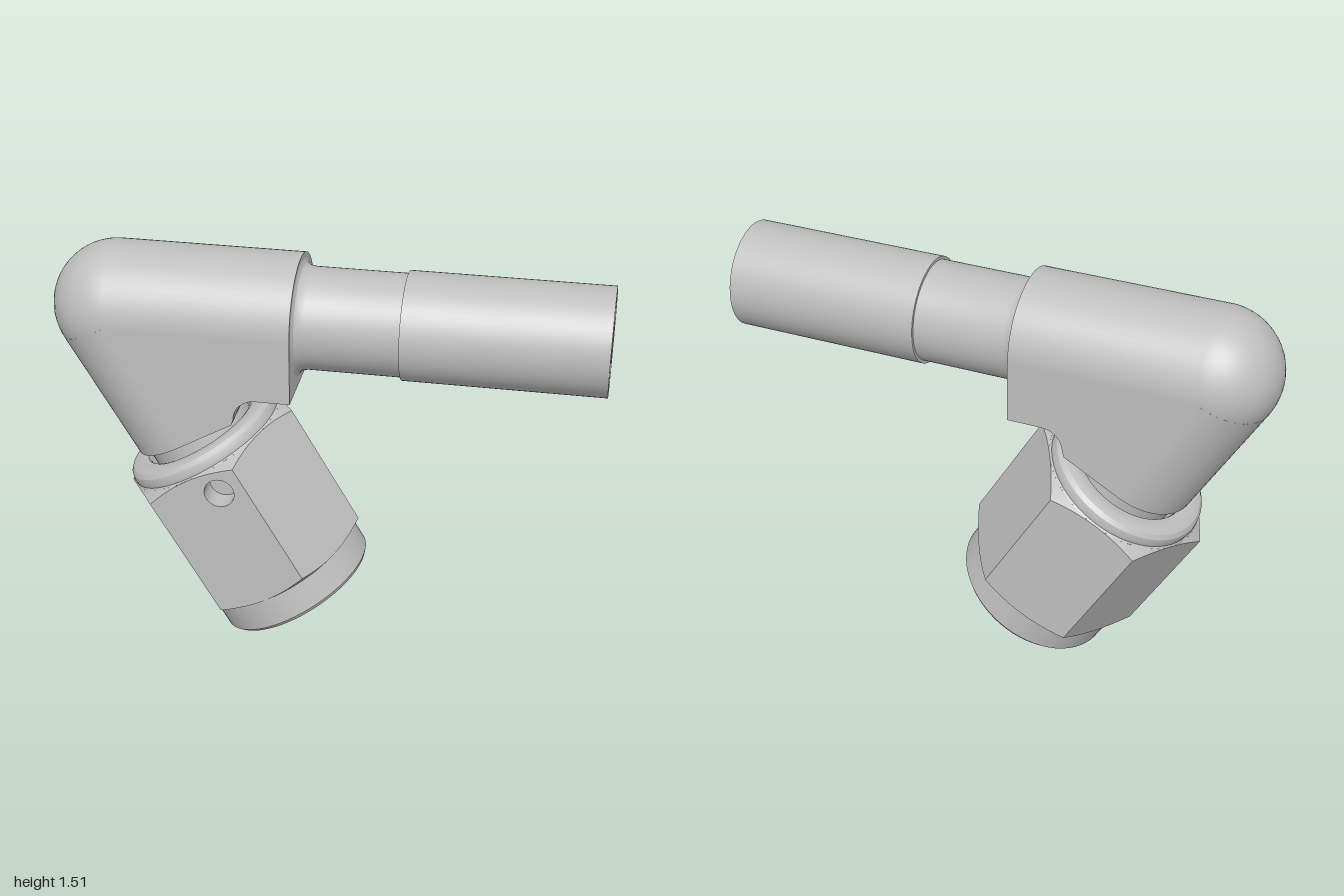
import * as THREE from 'three';
import { mergeGeometries, toCreasedNormals } from 'three/addons/utils/BufferGeometryUtils.js';

const R = 0.232;              // elbow body radius
const CX = -0.768, CY = 1.285; // where the two axes meet
const ARM = 0.52;             // length of the slanted arm
const FLAT = 0.309;           // nut centre to flat

export function createModel() {
  const steel = new THREE.MeshStandardMaterial({ color: 0xbfbfbf });
  steel.name = 'steel grey';
  const model = new THREE.Group();
  model.name = 'elbowFitting';

  const add = (parent, name, geometry) => {
    const mesh = new THREE.Mesh(geometry, steel);
    mesh.name = name;
    parent.add(mesh);
    return mesh;
  };
  const lathe = (points) => toCreasedNormals(
    new THREE.LatheGeometry(points.map(([r, y]) => new THREE.Vector2(r, y)), 64), 0.5);

  // Slanted branch: local -y runs down the branch
  const branch = new THREE.Group();
  branch.name = 'branch';
  branch.position.set(CX, CY, 0);
  branch.rotation.z = Math.PI / 6;
  model.add(branch);

  // Elbow body: flat-sided core with a filleted inner corner
  const c = Math.cos(Math.PI / 6), s = 0.5;
  const core = new THREE.Shape();
  core.moveTo(CX, CY);
  core.lineTo(-0.095, CY);
  core.lineTo(-0.095, CY - R);
  core.lineTo(-0.22, CY - R);
  core.absarc(-0.22, CY - R - 0.08, 0.08, Math.PI / 2, Math.PI, false);
  core.lineTo(CX + ARM * s + R * c, CY - ARM * c + R * s);
  core.lineTo(CX + ARM * s, CY - ARM * c);
  core.closePath();
  const coreGeometry = new THREE.ExtrudeGeometry(core, { depth: 2 * R, bevelEnabled: false, curveSegments: 12 });
  coreGeometry.translate(0, 0, -R);
  add(model, 'bodyCore', toCreasedNormals(coreGeometry, 0.5));

  // Rounded outer back of the body
  const sphere = add(model, 'bodyCorner', new THREE.SphereGeometry(R, 48, 32));
  sphere.position.set(CX, CY, 0);
  const run = -0.095 - CX;
  const top = add(model, 'bodyTop', new THREE.CylinderGeometry(R, R, run, 64));
  top.rotation.z = -Math.PI / 2;
  top.position.set(CX + run / 2, CY, 0);
  const arm = add(branch, 'bodyArm', new THREE.CylinderGeometry(R, R, ARM, 64));
  arm.position.y = -ARM / 2;

  // Horizontal tail: neck, sleeve, tapered socket and inner nipple
  const tail = add(model, 'tailTube', lathe([
    [0.21, -0.095], [0.196, -0.088], [0.188, -0.076], [0.184, -0.055], [0.184, 0.28],
    [0.195, 0.28], [0.195, 1], [0.17, 1], [0.153, 0.3], [0.095, 0.3],
    [0.075, 1], [0.063, 1], [0.063, 0.5], [0, 0.46],
  ]));
  tail.rotation.z = -Math.PI / 2;
  tail.position.y = CY;

  // Swivel neck between body and nut
  const neck = add(branch, 'swivelNeck', new THREE.CylinderGeometry(0.2, 0.2, 0.3, 48));
  neck.position.y = -0.65;

  // Nut: rounded top collar, then threaded end with its bore
  add(branch, 'nutTopCollar', lathe([
    [FLAT, -0.62], [0.303, -0.615], [0.305, -0.6], [0.3, -0.58], [0.287, -0.566],
    [0.268, -0.56], [0.235, -0.56], [0.22, -0.566], [0.215, -0.58], [0.215, -0.78],
  ]));
  add(branch, 'nutEndCollar', lathe([
    [0, -0.8], [0.13, -0.8], [0.21, -0.86], [0.21, -1.275], [0.235, -1.303],
    [0.293, -1.303], [0.305, -1.288], [0.305, -1.176], [FLAT, -1.176],
  ]));
  add(branch, 'nutHexagon', hexGeometry());

  // Blind wire hole in the front flat of the nut
  const hole = new THREE.Group();
  hole.name = 'wireHole';
  hole.position.set(0.083, -0.712, 0);
  branch.add(hole);
  const wall = lathe([[0, 0.225], [0.055, 0.225], [0.055, FLAT]].reverse());
  wall.rotateX(Math.PI / 2);
  add(hole, 'wireHoleWall', wall);
  return model;
}

// Hexagon with conical chamfers; the front flat has a round hole
function hexGeometry() {
  const half = FLAT * Math.tan(Math.PI / 6), n = 16;
  const rise = (u) => (Math.hypot(u, FLAT) - FLAT) * 0.58;
  const us = Array.from({ length: n + 1 }, (_, i) => -half + (2 * half * i) / n);
  const pieces = [];
  for (let k = 0; k < 6; k++) {
    const outline = [
      ...us.map((u) => new THREE.Vector2(u, -1.176 + rise(u))),
      ...us.slice().reverse().map((u) => new THREE.Vector2(u, -0.62 - rise(u))),
    ];
    const shape = new THREE.Shape(outline);
    if (k === 0) {
      const hole = new THREE.Path();
      hole.absarc(0.083, -0.712, 0.055, 0, Math.PI * 2, true);
      shape.holes.push(hole);
    }
    const flat = new THREE.ShapeGeometry(shape, 24).toNonIndexed();
    flat.translate(0, 0, FLAT);
    flat.deleteAttribute('uv');
    flat.deleteAttribute('normal');

    // Chamfer strips from the flat's curved edges in to the round collars
    const p = [];
    for (const [y, dir] of [[-0.62, -1], [-1.176, 1]]) {
      const edge = (u) => [u, y + dir * rise(u), FLAT];
      const rim = (u) => {
        const f = FLAT / Math.hypot(u, FLAT);
        return [u * f, y, FLAT * f];
      };
      for (let i = 0; i < n; i++) {
        const [u, v] = dir < 0 ? [us[i], us[i + 1]] : [us[i + 1], us[i]];
        p.push(...edge(u), ...edge(v), ...rim(v), ...edge(u), ...rim(v), ...rim(u));
      }
    }
    const strip = new THREE.BufferGeometry();
    strip.setAttribute('position', new THREE.Float32BufferAttribute(p, 3));
    for (const g of [flat, strip]) pieces.push(g.rotateY((k * Math.PI) / 3));
  }
  return toCreasedNormals(mergeGeometries(pieces), 0.4);
}
